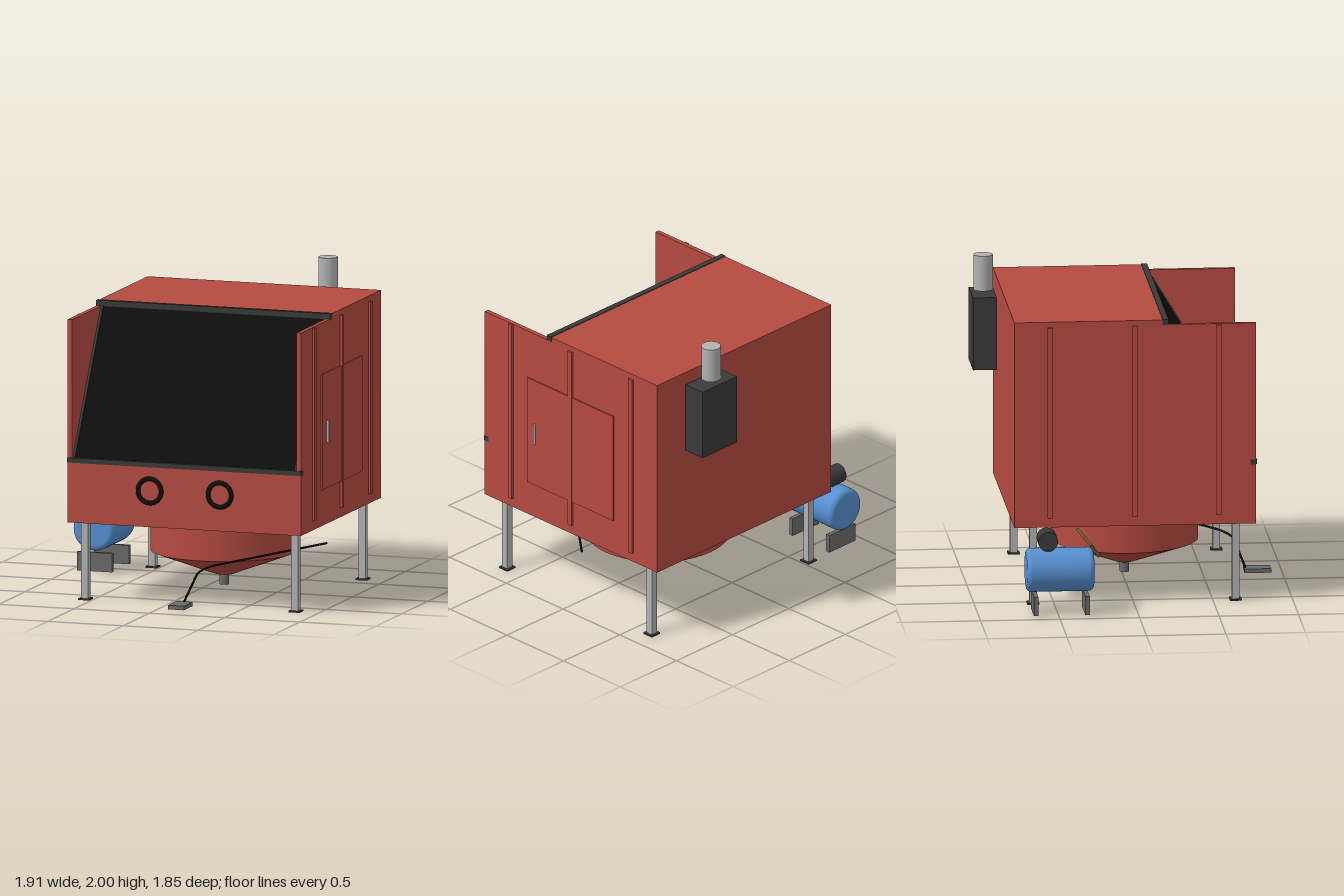
import * as THREE from 'three';

const paint = (name, color) => new THREE.MeshStandardMaterial({ name, color });

export function createModel() {
  const root = new THREE.Group();
  root.name = 'blastCabinet';

  const red = paint('redPaint', 0xb54b41);
  const black = paint('blackGlass', 0x0e0e0e);
  const dark = paint('darkTrim', 0x3a3a3a);
  const grey = paint('lightMetal', 0xb2b2b2);
  const mid = paint('greyMetal', 0x6a6a6a);
  const blue = paint('bluePaint', 0x568fd0);
  const gold = paint('brassHose', 0x80702c);

  const add = (name, geometry, material, x = 0, y = 0, z = 0, parent = root) => {
    const mesh = new THREE.Mesh(geometry, material);
    mesh.name = name;
    mesh.position.set(x, y, z);
    parent.add(mesh);
    return mesh;
  };
  // Box given by its lowest and highest corners
  const box = (name, material, [x0, y0, z0], [x1, y1, z1], parent = root) =>
    add(name, new THREE.BoxGeometry(x1 - x0, y1 - y0, z1 - z0), material,
      (x0 + x1) / 2, (y0 + y1) / 2, (z0 + z1) / 2, parent);
  const cylinder = (name, material, rTop, rBottom, y0, y1, x, z) =>
    add(name, new THREE.CylinderGeometry(rTop, rBottom, y1 - y0, 48), material, x, (y0 + y1) / 2, z);
  const tube = (name, material, radius, path) =>
    add(name, new THREE.TubeGeometry(path, 48, radius, 10), material);

  const L = -0.625, R = 0.925, BACK = -0.755, FRONT = 0.765;
  const CX = 0.15, CZ = 0.005;

  // Cabinet shell
  const cabinet = new THREE.Group();
  cabinet.name = 'cabinet';
  root.add(cabinet);
  box('floor', red, [L, 0.505, BACK], [R, 0.565, FRONT], cabinet);
  box('backWall', red, [L, 0.565, BACK], [R, 1.795, BACK + 0.03], cabinet);
  box('rightWall', red, [R - 0.03, 0.565, BACK], [R, 1.795, FRONT], cabinet);
  box('leftWall', red, [L, 0.565, BACK], [L + 0.03, 1.795, FRONT], cabinet);
  box('frontPanel', red, [L + 0.03, 0.565, FRONT - 0.03], [R - 0.03, 0.9, FRONT], cabinet);
  box('roof', red, [L, 1.795, BACK], [R, 1.825, 0.19], cabinet);

  // Side ribs
  for (const z of [-0.53, 0.005, 0.53]) {
    box('sideRib', red, [R, 0.567, z - 0.017], [R + 0.014, 1.79, z + 0.017], cabinet);
    box('sideRib', red, [L - 0.014, 0.567, z - 0.017], [L, 1.79, z + 0.017], cabinet);
  }

  // Door and handle
  box('door', red, [R, 0.735, -0.375], [R + 0.009, 1.47, 0.385], cabinet);
  add('doorHandle', new THREE.CylinderGeometry(0.009, 0.009, 0.14, 16), grey, 0.944, 1.1, 0.31, cabinet);

  // Sloping window with its frame
  const bottom = { y: 0.9, z: 0.752 }, top = { y: 1.808, z: 0.197 };
  const dy = top.y - bottom.y, dz = top.z - bottom.z;
  const window = new THREE.Group();
  window.name = 'window';
  window.position.set(CX, (top.y + bottom.y) / 2, (top.z + bottom.z) / 2);
  window.rotation.x = Math.atan2(dz, dy);
  root.add(window);
  const length = Math.hypot(dy, dz);
  add('glass', new THREE.BoxGeometry(1.48, length, 0.009), black, 0, 0, 0, window);
  for (const s of [-1, 1])
    add('windowSideTrim', new THREE.BoxGeometry(0.015, length, 0.025), dark, s * 0.7375, 0, 0, window);
  box('topRail', dark, [L - 0.003, 1.794, 0.178], [R + 0.003, 1.829, 0.215]);
  box('bottomRail', dark, [L - 0.003, 0.886, 0.731], [R + 0.003, 0.917, 0.77]);

  // Glove rings
  for (const x of [-0.08, 0.385])
    add('gloveRing', new THREE.TorusGeometry(0.077, 0.0145, 14, 48), black, x, 0.735, FRONT);

  // Hopper and outlet
  cylinder('hopperDrum', red, 0.463, 0.463, 0.255, 0.505, CX, CZ);
  cylinder('hopperCone', red, 0.463, 0.062, 0.105, 0.255, CX, CZ);
  cylinder('hopperOutlet', mid, 0.03, 0.03, 0.035, 0.106, CX, CZ);

  // Legs with feet
  for (const x of [-0.548, 0.848])
    for (const z of [-0.632, 0.643]) {
      box('leg', grey, [x - 0.023, 0.01, z - 0.023], [x + 0.023, 0.505, z + 0.023]);
      box('foot', dark, [x - 0.037, 0, z - 0.037], [x + 0.037, 0.01, z + 0.037]);
    }

  // Extractor and exhaust pipe
  box('extractor', dark, [0.387, 1.29, -0.927], [0.693, 1.755, -0.777]);
  cylinder('exhaustPipe', grey, 0.061, 0.061, 1.775, 2, 0.54, -0.85);

  // Compressor tank with rounded ends
  const half = 0.212, radius = 0.138, fillet = 0.032;
  const profile = [new THREE.Vector2(0, -half)];
  for (let i = 0; i <= 6; i++) {
    const a = (i / 6) * Math.PI / 2;
    profile.push(new THREE.Vector2(radius - fillet + fillet * Math.sin(a), -half + fillet - fillet * Math.cos(a)));
  }
  for (let i = profile.length - 1; i >= 0; i--)
    profile.push(new THREE.Vector2(profile[i].x, -profile[i].y));
  const tank = add('compressorTank', new THREE.LatheGeometry(profile, 48), blue, -0.82, 0.28, -0.488);
  tank.rotation.x = Math.PI / 2;

  // Compressor motor and stands
  const motor = add('compressorMotor', new THREE.CylinderGeometry(0.062, 0.062, 0.137, 32), dark, -0.822, 0.473, -0.565);
  motor.rotation.z = Math.PI / 2;
  for (const z of [-0.322, -0.645])
    box('compressorStand', mid, [-0.938, 0.01, z - 0.014], [-0.706, 0.13, z + 0.014]);

  // Air hose
  tube('airHose', gold, 0.009, new THREE.CatmullRomCurve3([
    new THREE.Vector3(-0.82, 0.435, -0.295),
    new THREE.Vector3(-0.735, 0.342, -0.238),
    new THREE.Vector3(-0.69, 0.343, -0.235),
    new THREE.Vector3(-0.61, 0.49, -0.36),
  ]));

  // Foot pedal and its cable
  box('footPedal', mid, [0.097, 0.018, 0.757], [0.203, 0.044, 0.924]);
  const cable = new THREE.CurvePath();
  const p = [[0.83, 0.332, 0], [0.29, 0.256, 0.61], [0.222, 0.238, 0.69], [0.148, 0.042, 0.765]]
    .map((v) => new THREE.Vector3(...v));
  const bendEnd = p[2].clone().lerp(p[3], 0.15);
  cable.add(new THREE.LineCurve3(p[0], p[1]));
  cable.add(new THREE.QuadraticBezierCurve3(p[1], p[2], bendEnd));
  cable.add(new THREE.LineCurve3(bendEnd, p[3]));
  tube('pedalCable', black, 0.007, cable);

  return root;
}
